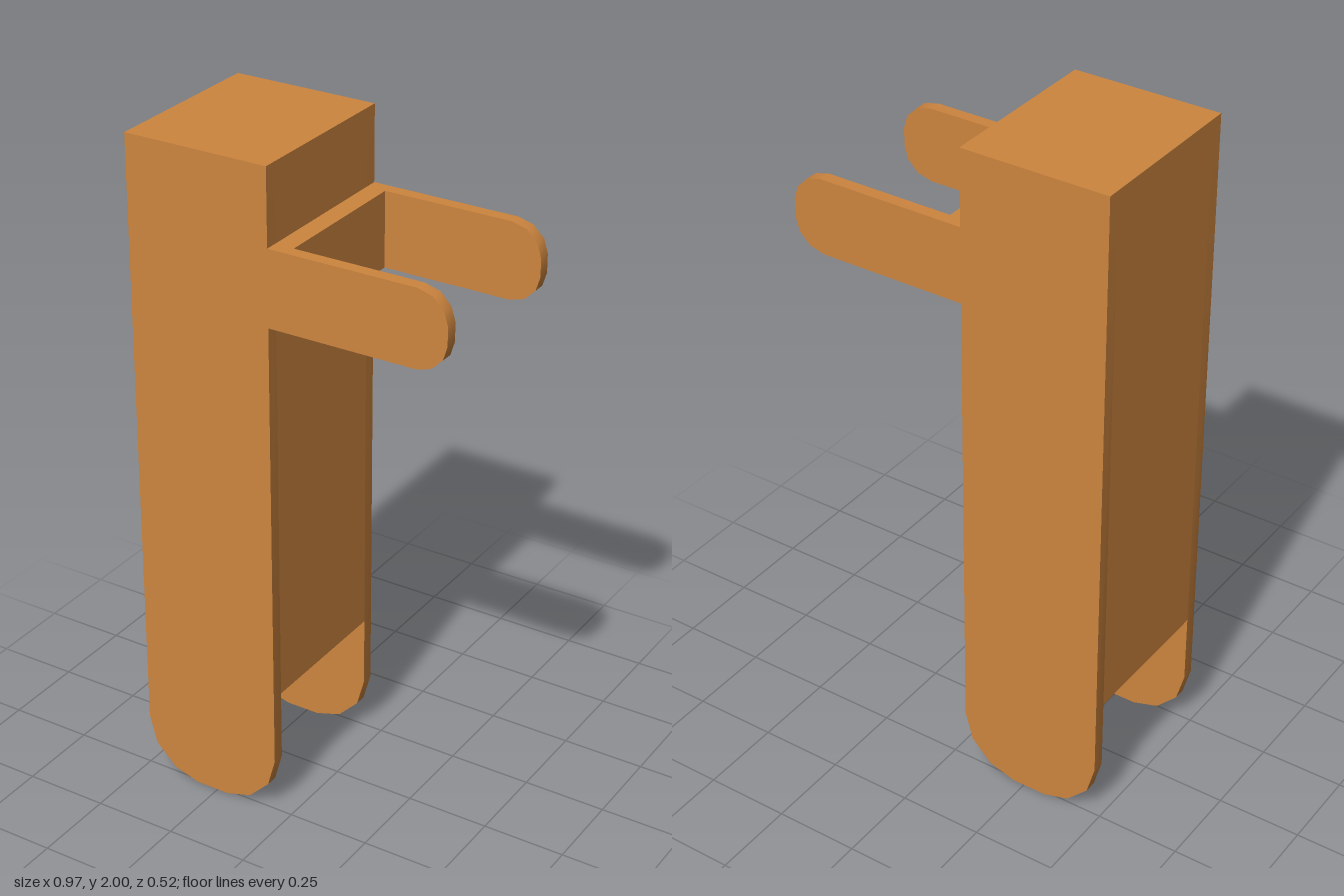
import * as THREE from 'three';
import { toCreasedNormals } from 'three/addons/utils/BufferGeometryUtils.js';

const HALF_DEPTH = 0.262; // outer half depth in z
const INNER = 0.225;      // half width of the slots
const LEFT = -0.487, RIGHT = -0.047, TOP = 2;

// Half of a faceted rounded end, as fractions of its half width: [across, along].
const CAP = [[1, 0.8], [0.89, 0.4], [0.6, 0.11], [0.24, 0]];

export function createModel() {
  const group = new THREE.Group();
  const material = new THREE.MeshStandardMaterial({ color: 0xcd853f });

  function add(name, geometry, x = 0, y = 0, z = 0) {
    const mesh = new THREE.Mesh(geometry, material);
    mesh.name = name;
    mesh.position.set(x, y, z);
    group.add(mesh);
    return mesh;
  }

  // Flat strip with one rounded end at the origin, running up +y to a square end.
  function strip(halfWidth, length) {
    const end = [
      ...CAP.map(([a, b]) => [-a, b]),
      ...[...CAP].reverse(),
    ].map(([a, b]) => new THREE.Vector2(a * halfWidth, b * halfWidth));
    const shape = new THREE.Shape([
      ...end,
      new THREE.Vector2(halfWidth, length),
      new THREE.Vector2(-halfWidth, length),
    ]);
    const geometry = new THREE.ExtrudeGeometry(shape, { depth: HALF_DEPTH - INNER, bevelEnabled: false });
    return toCreasedNormals(geometry, 0.8);
  }

  function block(name, x0, x1, y0, y1) {
    add(name, new THREE.BoxGeometry(x1 - x0, y1 - y0, INNER * 2), (x0 + x1) / 2, (y0 + y1) / 2, 0);
  }

  // Solid middle of the post, leaving the fork slot open below
  block('postCore', LEFT, RIGHT, 0.39, TOP);
  // Bridge joining the two arms to the post
  block('armBridge', RIGHT, 0.01, 1.55, 1.775);

  // Side plates of the post (fork cheeks at the bottom) and side arms
  for (const [side, z] of [['front', INNER], ['back', -HALF_DEPTH]]) {
    add(side + 'PostPlate', strip((RIGHT - LEFT) / 2, TOP), (LEFT + RIGHT) / 2, 0, z);
    const arm = add(side + 'Arm', strip(0.1125, 0.487 - RIGHT), 0.487, 1.6625, z);
    arm.rotation.z = Math.PI / 2;
  }

  return group;
}
